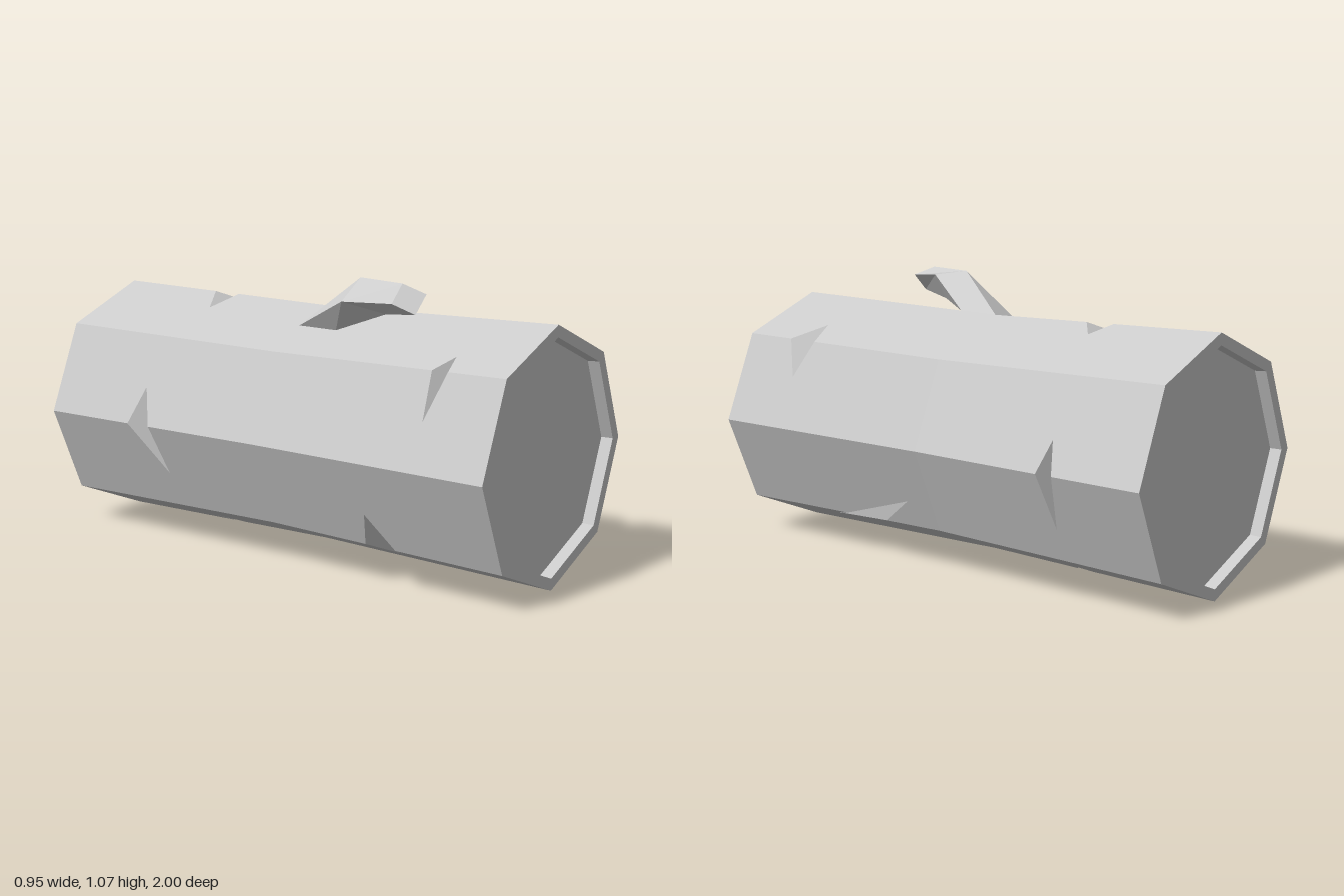
import * as THREE from 'three';

const CY = 0.474;
const material = new THREE.MeshStandardMaterial({ color: 0xcccccc, flatShading: true });

// Octagonal trunk, slightly waisted in the middle
const radius = z => 0.456 + 0.018 * Math.abs(z);

// Point on the bark: u counts corners anticlockwise from +x, fractions lie on the flat panels
function bark(u, z) {
  const k = Math.floor(u), t = u - k, r = radius(z);
  const a = k * Math.PI / 4, b = a + Math.PI / 4;
  return [
    r * THREE.MathUtils.lerp(Math.cos(a), Math.cos(b), t),
    CY + r * THREE.MathUtils.lerp(Math.sin(a), Math.sin(b), t),
    z,
  ];
}

// One axe notch per corner: z span on the corner, then [distance, z] of the tips
// on the panel before and the panel after it
const notches = [
  { span: [-0.635, -0.565], before: [0.63, -0.595], after: [0.35, -0.605] },
  { span: [0.645, 0.775], before: [0.42, 0.71], after: [0.36, 0.69] },
  { span: [-0.55, -0.43], before: [0.24, -0.495], after: [0.34, -0.485] },
  { span: [0.705, 0.77], before: [0.27, 0.745], after: [0.5, 0.715] },
  { span: [-0.6, -0.495], before: [0.42, -0.55], after: [0.58, -0.46] },
  { span: [0.43, 0.56], before: [0.38, 0.46], after: [0.35, 0.52] },
  { span: [-0.47, -0.4], before: [0.29, -0.48], after: [0.25, -0.45] },
  { span: [0.27, 0.48], before: [0.2, 0.595], after: [0.32, 0.12] },
];

function meshFrom(name, triangles) {
  const geometry = new THREE.BufferGeometry();
  geometry.setAttribute('position', new THREE.Float32BufferAttribute(triangles.flat(), 3));
  geometry.computeVertexNormals();
  const mesh = new THREE.Mesh(geometry, material);
  mesh.name = name;
  return mesh;
}

// Flat half panels with the notch outlines cut from their edges
function makeBark() {
  const points = [];
  for (let k = 0; k < 8; k++) {
    for (const [z0, z1] of [[-1, 0], [0, 1]]) {
      const inside = n => n.span[0] > z0 && n.span[1] < z1;
      const outline = [[0, z0], [1, z0]];
      const next = notches[(k + 1) % 8], own = notches[k];
      if (inside(next)) {
        outline.push([1, next.span[0]], [1 - next.before[0], next.before[1]], [1, next.span[1]]);
      }
      outline.push([1, z1], [0, z1]);
      if (inside(own)) outline.push([0, own.span[1]], own.after, [0, own.span[0]]);

      const flat = outline.map(([t, z]) => new THREE.Vector2(t, z));
      // t = 1 must stay on this panel's far corner
      const solid = outline.map(([t, z]) => bark(k + t, z));
      for (const face of THREE.ShapeUtils.triangulateShape(flat, [])) {
        for (const i of face) points.push(solid[i]);
      }
    }
  }
  return meshFrom('bark', points);
}

// Two-sided wedge closing each notch
function makeNotches() {
  const points = [];
  notches.forEach(({ span, before, after }, k) => {
    const a = bark(k, span[0]), b = bark(k, span[1]);
    const p = bark(k + 8 - before[0], before[1]);
    const q = bark(k + after[0], after[1]);
    points.push(p, a, q, p, q, b);
  });
  return meshFrom('axeNotches', points);
}

// Rim, shallow recess and cut face at one end
function makeEnd(name, turn) {
  const profile = [[radius(1), 1], [0.43, 1], [0.427, 0.955], [0, 0.955]];
  const geometry = new THREE.LatheGeometry(profile.map(p => new THREE.Vector2(...p)), 8);
  geometry.rotateX(Math.PI / 2).rotateY(turn);
  const mesh = new THREE.Mesh(geometry, material);
  mesh.position.y = CY;
  mesh.name = name;
  return mesh;
}

// Bent four-sided branch stub, lofted through three cross-sections
function makeBranch() {
  const rings = [
    [[-0.16, 0.872, 0], [0, 0.93, 0], [0, 0.932, 0.17], [-0.16, 0.87, 0.17]],
    [[-0.235, 0.99, 0.25], [-0.145, 1.07, 0.27], [-0.105, 1.05, 0.4], [-0.17, 0.95, 0.4]],
    [[-0.265, 1.005, 0.49], [-0.2, 1.07, 0.49], [-0.168, 1.035, 0.57], [-0.235, 0.97, 0.57]],
  ];
  const points = [];
  for (let s = 0; s < 2; s++) {
    for (let i = 0; i < 4; i++) {
      const j = (i + 1) % 4;
      const [a, b, c, d] = [rings[s][i], rings[s + 1][i], rings[s + 1][j], rings[s][j]];
      points.push(a, b, c, a, c, d);
    }
  }
  const [a, b, c, d] = rings[2];
  points.push(d, c, b, d, b, a);
  return meshFrom('branchStub', points);
}

export function createModel() {
  const log = new THREE.Group();
  log.name = 'log';
  log.add(
    makeBark(),
    makeNotches(),
    makeEnd('frontEnd', 0),
    makeEnd('backEnd', Math.PI),
    makeBranch(),
  );
  return log;
}
